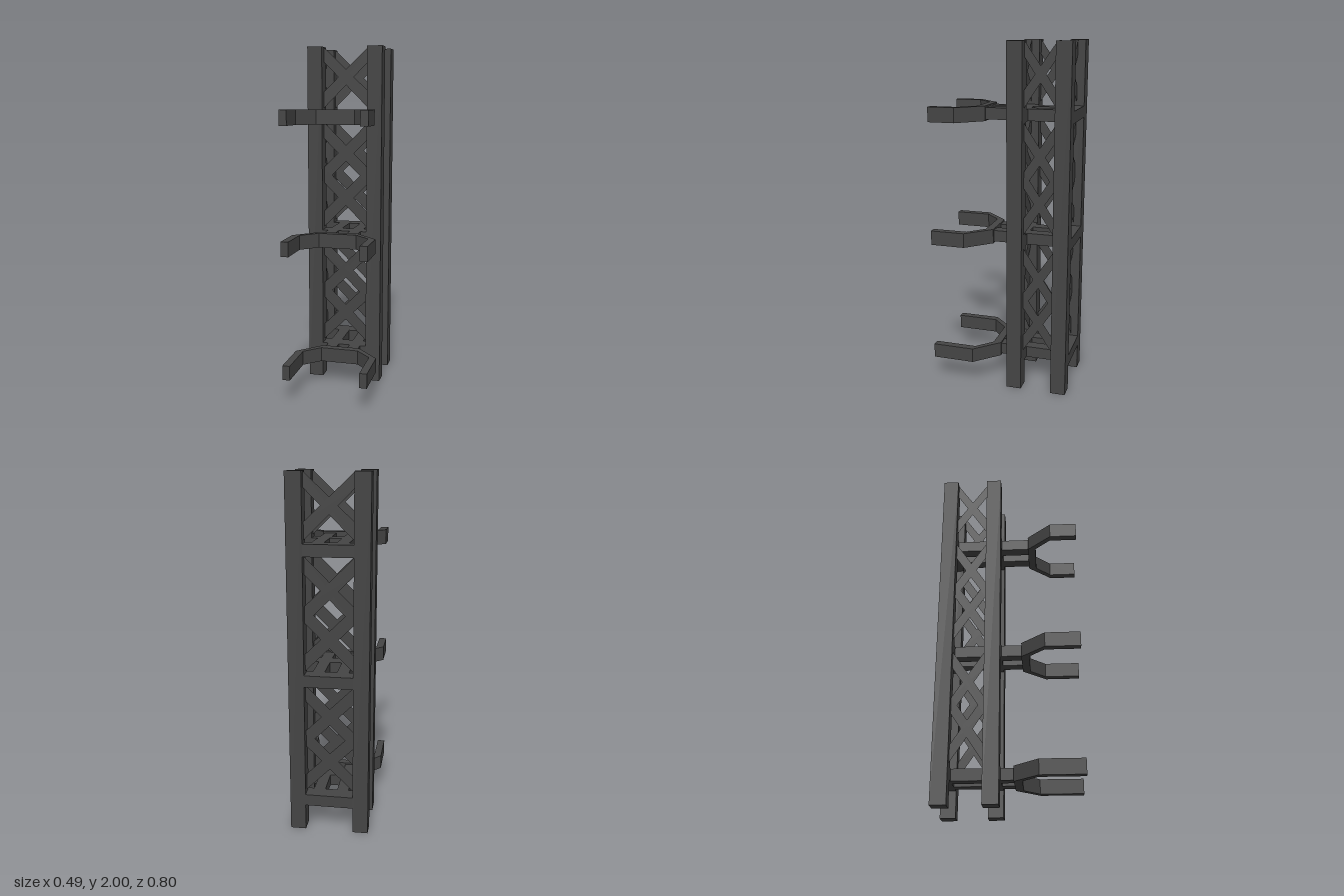
import * as THREE from 'three';

export function createModel() {
  const model = new THREE.Group();
  model.name = 'latticeTowerWithHooks';

  const steel = new THREE.MeshStandardMaterial({ color: 0x444444, flatShading: true });
  steel.name = 'darkSteel';
  const sheet = new THREE.MeshStandardMaterial({ color: 0x444444, side: THREE.DoubleSide });
  sheet.name = 'darkSteelSheet';

  const POST = 0.087;                 // post thickness
  const PX = 0.178;                   // post centre in x
  const FRONT = -0.091, BACK = -0.3565; // post centres in z
  const MID = (FRONT + BACK) / 2;
  const levels = [0.182, 0.892, 1.602]; // heights of the hook frames

  function add(name, geometry, material, x, y, z) {
    const mesh = new THREE.Mesh(geometry, material);
    mesh.name = name;
    mesh.position.set(x, y, z);
    model.add(mesh);
    return mesh;
  }
  const box = (name, w, h, d, x, y, z) =>
    add(name, new THREE.BoxGeometry(w, h, d), steel, x, y, z);

  // Four corner posts
  for (const x of [-PX, PX])
    for (const z of [FRONT, BACK]) box('cornerPost', POST, 2, POST, x, 1, z);

  // Flat diagonal brace, cut off vertically at the posts
  function braceGeometry(half, dir, cy) {
    const rise = 0.135 * dir, t = 0.048;
    const top = (y) => Math.min(y, 2 - cy);
    return new THREE.ShapeGeometry(new THREE.Shape([
      new THREE.Vector2(-half, -rise - t),
      new THREE.Vector2(half, rise - t),
      new THREE.Vector2(half, top(rise + t)),
      new THREE.Vector2(-half, top(-rise + t)),
    ]));
  }

  // Crossed braces on all four sides
  for (const y of [0.41, 0.675, 1.12, 1.385, 1.83]) {
    for (const dir of [-1, 1]) {
      for (const z of [FRONT, BACK])
        add('crossBrace', braceGeometry(0.136, dir, y), sheet, 0, y, z);
      for (const x of [-PX, PX])
        add('sideCrossBrace', braceGeometry(0.09, dir, y), sheet, x, y, MID).rotation.y = Math.PI / 2;
    }
  }

  // Open hook outline in plan, back edge at z = b
  function hookGeometry(b) {
    const outline = [
      [-0.243, 0.4], [-0.243, b + 0.135], [-0.111, b], [0.111, b], [0.243, b + 0.135], [0.243, 0.4],
      [0.2, 0.4], [0.2, b + 0.132], [0.111, b + 0.045], [-0.111, b + 0.045], [-0.2, b + 0.132], [-0.2, 0.4],
    ];
    const shape = new THREE.Shape(outline.map(([x, z]) => new THREE.Vector2(x, z)));
    const g = new THREE.ExtrudeGeometry(shape, { depth: 0.084, bevelEnabled: false });
    return g.rotateX(Math.PI / 2).translate(0, 0.042, 0);
  }

  // Cross beams, support arms and hook at each level
  levels.forEach((y, i) => {
    const back = 0.022 + 0.0445 * i;
    for (const z of [FRONT, BACK]) box('crossBeam', 2 * PX - POST, 0.066, POST, 0, y, z);
    const start = BACK + POST / 2;
    for (const x of [-0.067, 0.067])
      box('supportArm', 0.066, 0.066, back - start, x, y, (back + start) / 2);
    add('hook', hookGeometry(back), steel, 0, y, 0);
  });

  return model;
}
